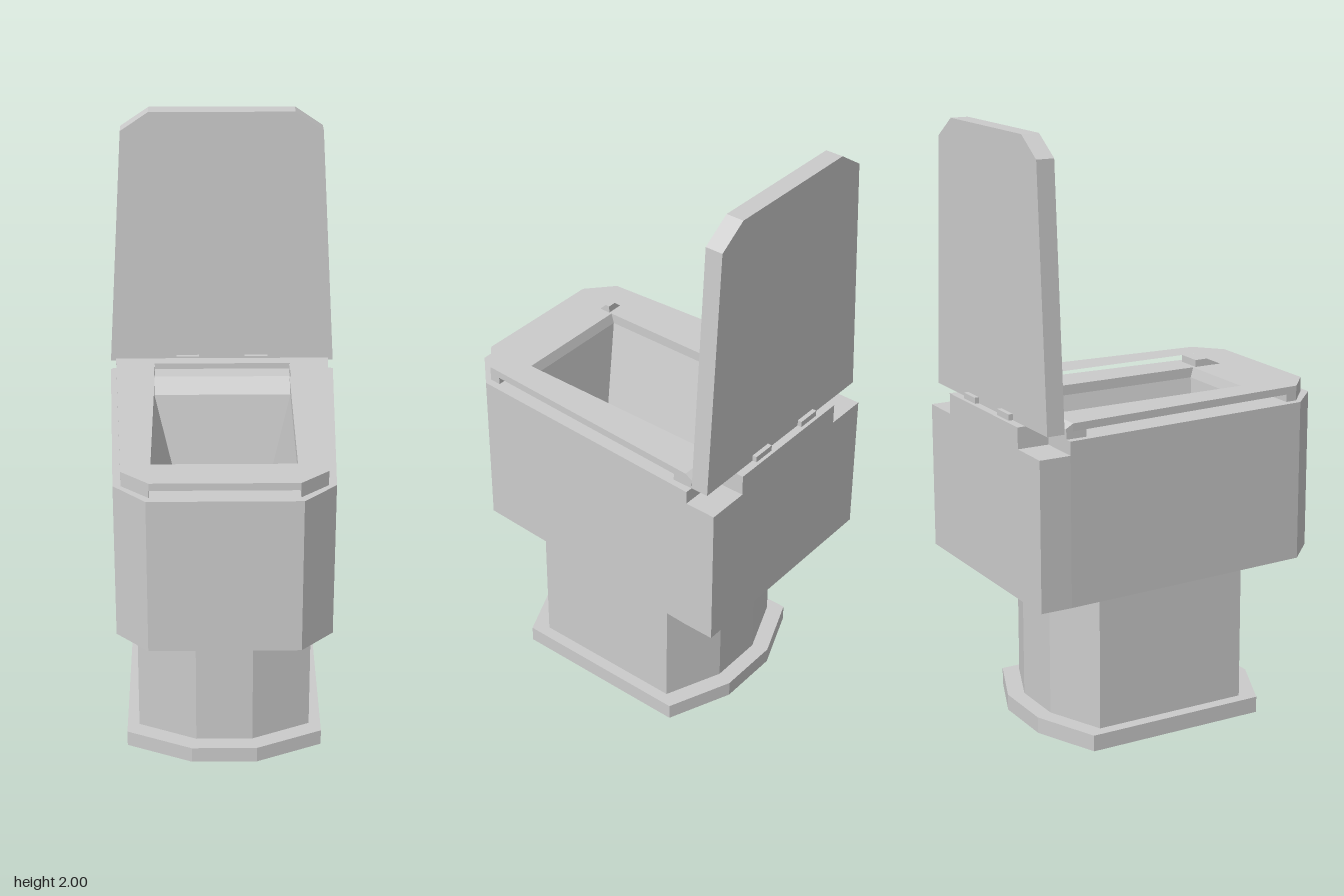
import * as THREE from 'three';

const grey = new THREE.MeshStandardMaterial({ color: 0xcccccc, flatShading: true });
const greyThin = new THREE.MeshStandardMaterial({ color: 0xcccccc, flatShading: true, side: THREE.DoubleSide });
const blue = new THREE.MeshStandardMaterial({ color: 0x24c7ec });

// Right half of an outline plus its mirror image
const mirrored = (half) => [...half, ...half.map(([x, v]) => [-x, v]).reverse()];
const toShape = (pts) => new THREE.Shape(pts.map(([x, v]) => new THREE.Vector2(x, v)));

// Plan outline of [x, z] points raised from y0 to y1, with an optional hole
function slab(pts, y0, y1, hole) {
  const flip = (p) => p.map(([x, z]) => [x, -z]);
  const shape = toShape(flip(pts));
  if (hole) shape.holes.push(toShape(flip(hole)));
  return new THREE.ExtrudeGeometry(shape, { depth: y1 - y0, bevelEnabled: false })
    .rotateX(-Math.PI / 2).translate(0, y0, 0);
}

function block(x0, x1, y0, y1, z0, z1) {
  return new THREE.BoxGeometry(x1 - x0, y1 - y0, z1 - z0)
    .translate((x0 + x1) / 2, (y0 + y1) / 2, (z0 + z1) / 2);
}

// Funnel through rectangular rings [halfWidth, zBack, zFront, y]
function funnel(rings) {
  const pos = [], index = [];
  for (const [w, b, f, y] of rings) pos.push(-w, y, b, w, y, b, w, y, f, -w, y, f);
  for (let r = 0; r < rings.length - 1; r++) {
    for (let i = 0; i < 4; i++) {
      const a = r * 4 + i, b = r * 4 + (i + 1) % 4;
      index.push(a, a + 4, b, b, a + 4, b + 4);
    }
  }
  const g = new THREE.BufferGeometry();
  g.setAttribute('position', new THREE.Float32BufferAttribute(pos, 3));
  g.setIndex(index);
  const flat = g.toNonIndexed();
  flat.computeVertexNormals();
  return flat;
}

export function createModel() {
  const model = new THREE.Group();
  const add = (name, geometry, material = grey) => {
    const mesh = new THREE.Mesh(geometry, material);
    mesh.name = name;
    model.add(mesh);
  };

  // Foot and pedestal
  add('basePlate', slab(mirrored([[0.33, -0.33], [0.33, 0.3], [0.11, 0.4]]).concat([[-0.11, -0.42], [0.11, -0.42]]), 0, 0.055));
  add('pedestal', slab(mirrored([[0.29, -0.285], [0.29, 0.255], [0.095, 0.345]]).concat([[-0.095, -0.365], [0.095, -0.365]]), 0.055, 0.535));

  // Tank-like body: solid floor, hollow upper part, stepped back
  const outline = mirrored([[0.39, -0.44], [0.35, 0.44], [0.245, 0.545]]);
  const opening = mirrored([[0.235, -0.375], [0.235, 0.39]]);
  add('bodyFloor', slab(outline, 0.535, 0.7));
  add('bodyWalls', slab(outline, 0.7, 1.075, opening));
  add('bodyBack', block(-0.39, 0.39, 0.535, 1.03, -0.547, -0.44));
  add('hingeMount', block(-0.245, 0.245, 1.03, 1.1, -0.547, -0.44));

  // Bowl with a sloping ledge, and its water
  add('bowl', funnel([
    [0.235, -0.375, 0.39, 1.075],
    [0.235, -0.3, 0.38, 1.04],
    [0.16, -0.25, 0.35, 0.72],
  ]), greyThin);
  add('water', new THREE.PlaneGeometry(0.32, 0.6).rotateX(-Math.PI / 2).translate(0, 0.721, 0.05), blue);

  // Seat ring with a bevelled rear edge
  add('seat', slab(mirrored([[0.37, -0.42], [0.325, 0.44], [0.235, 0.52]]), 1.1, 1.125, opening));
  const rear = toShape([[-0.445, 1.1], [-0.42, 1.1], [-0.42, 1.125], [-0.445, 1.11]]);
  add('seatRearEdge', new THREE.ExtrudeGeometry(rear, { depth: 0.74, bevelEnabled: false })
    .rotateY(-Math.PI / 2).translate(0.37, 0, 0));

  // Seat pads and lid hinges on both sides
  for (const s of [1, -1]) {
    const side = s > 0 ? 'left' : 'right';
    const pad = [[0.235, 0.4], [0.327, 0.4], [0.325, 0.44], [0.235, 0.52]].map(([x, z]) => [s * x, z]);
    add(side + 'FrontPad', slab(pad, 1.075, 1.1));
    add(side + 'RearPad', block(s * 0.3 - 0.065, s * 0.3 + 0.065, 1.075, 1.1, -0.44, -0.37));
    add(side + 'Hinge', block(s * 0.12 - 0.04, s * 0.12 + 0.04, 1.1, 1.12, -0.535, -0.447));
  }

  // Raised lid
  const lid = toShape(mirrored([[0.39, 1.1], [0.34, 1.935], [0.245, 2]]));
  add('lid', new THREE.ExtrudeGeometry(lid, { depth: 0.06, bevelEnabled: false }).translate(0, 0, -0.52));

  return model;
}
